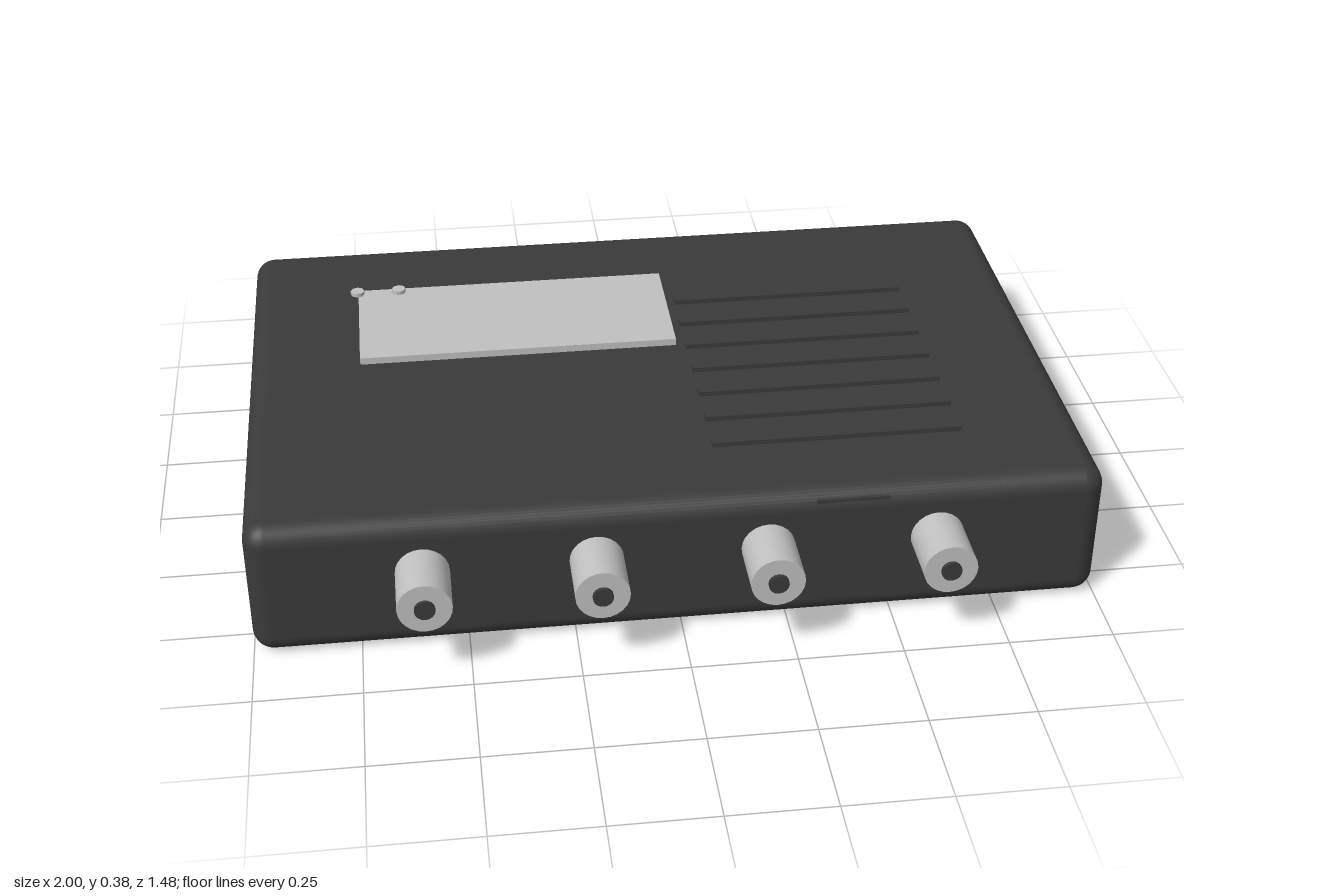
import * as THREE from 'three';
import { RoundedBoxGeometry } from 'three/addons/geometries/RoundedBoxGeometry.js';

export function createModel() {
  const model = new THREE.Group();
  model.name = 'connectorBox';

  const darkPlastic = new THREE.MeshStandardMaterial({ color: 0x3a3a3a });
  darkPlastic.name = 'dark plastic';
  const lightMetal = new THREE.MeshStandardMaterial({ color: 0xc0c0c0 });
  lightMetal.name = 'light metal';

  const add = (name, geometry, material, x, y, z, parent = model) => {
    const mesh = new THREE.Mesh(geometry, material);
    mesh.name = name;
    mesh.position.set(x, y, z);
    parent.add(mesh);
    return mesh;
  };

  // Rounded enclosure
  add('enclosure', new RoundedBoxGeometry(2, 0.348, 1.333, 4, 0.05), darkPlastic, 0, 0.174, -0.075);

  // Label plate on the lid with two small studs on its back edge
  add('labelPlate', new THREE.BoxGeometry(0.8, 0.018, 0.35), lightMetal, -0.323, 0.357, -0.292);
  const stud = new THREE.CylinderGeometry(0.018, 0.018, 0.01, 8);
  for (const x of [-0.725, -0.617]) add('stud', stud, lightMetal, x, 0.371, -0.45);

  // Row of vent ribs held just above the lid
  const rib = new THREE.BoxGeometry(0.6, 0.012, 0.025);
  for (let i = 0; i < 7; i++) add('ventRib', rib, darkPlastic, 0.396, 0.372, -0.304 + i * 0.1143);

  // Thin slot strip on the front face
  add('frontSlot', new THREE.BoxGeometry(0.17, 0.008, 0.008), darkPlastic, 0.395, 0.329, 0.592);

  // Four connectors, each a barrel with a dark centre pin
  const barrel = new THREE.CylinderGeometry(0.063, 0.063, 0.16, 24).rotateX(Math.PI / 2);
  const pin = new THREE.CylinderGeometry(0.024, 0.024, 0.04, 16).rotateX(Math.PI / 2);
  for (const x of [-0.6, -0.2, 0.2, 0.6]) {
    const connector = new THREE.Group();
    connector.name = 'connector';
    connector.position.set(x, 0.211, 0);
    add('barrel', barrel, lightMetal, 0, 0, 0.652, connector);
    add('centrePin', pin, darkPlastic, 0, 0, 0.721, connector);
    model.add(connector);
  }

  return model;
}
